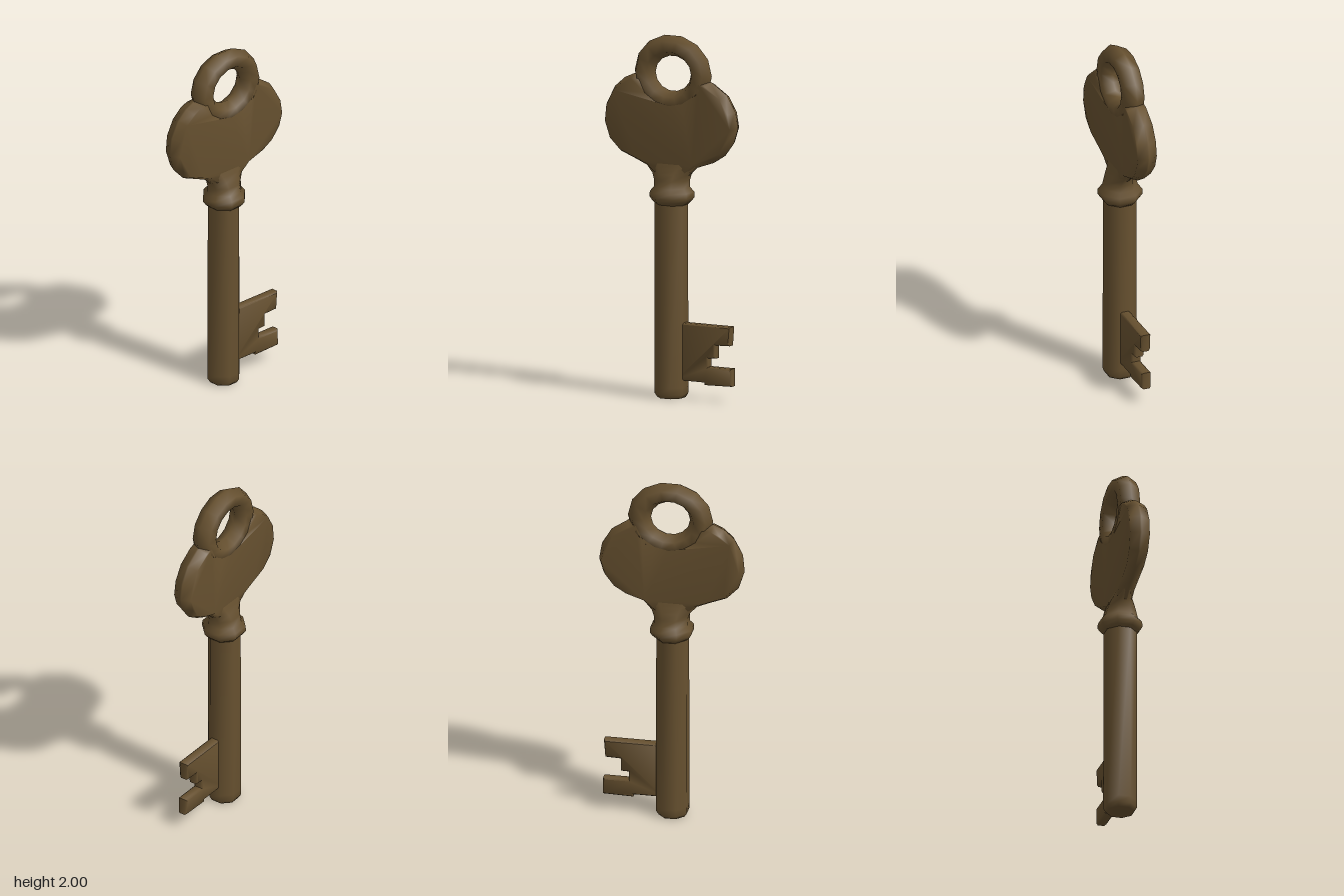
import * as THREE from 'three';
import { mergeVertices, toCreasedNormals } from 'three/addons/utils/BufferGeometryUtils.js';

// Eight-sided loft through sections [y, half width, half depth], closed at both ends
function loft(sections, sides = 8) {
  const pos = [], index = [], k = 1 / Math.cos(Math.PI / sides);
  for (const [y, hx, hz] of sections) {
    for (let i = 0; i < sides; i++) {
      const a = ((i + 0.5) / sides) * Math.PI * 2;
      pos.push(Math.cos(a) * hx * k, y, Math.sin(a) * hz * k);
    }
  }
  const rows = sections.length, bottom = rows * sides, top = bottom + 1;
  pos.push(0, sections[0][0], 0, 0, sections[rows - 1][0], 0);
  for (let i = 0; i < sides; i++) {
    const j = (i + 1) % sides, last = (rows - 1) * sides;
    for (let r = 0; r < rows - 1; r++) {
      const a = r * sides + i, b = r * sides + j;
      index.push(a, a + sides, b, b, a + sides, b + sides);
    }
    index.push(bottom, i, j, top, last + j, last + i);
  }
  const g = new THREE.BufferGeometry();
  g.setAttribute('position', new THREE.Float32BufferAttribute(pos, 3));
  g.setIndex(index);
  g.computeVertexNormals();
  return g;
}

// Bevelled slab centred on z = 0, with the outline as its outermost edge
function slab(points, depth, bevelThickness, bevelSize) {
  const shape = new THREE.Shape(points.map(([x, y]) => new THREE.Vector2(x, y)));
  const g = new THREE.ExtrudeGeometry(shape, {
    depth, bevelThickness, bevelSize, bevelOffset: -bevelSize, bevelSegments: 1,
  });
  return g.translate(0, 0, -depth / 2);
}

function smooth(g) {
  g.deleteAttribute('normal');
  g.deleteAttribute('uv');
  const merged = mergeVertices(g, 1e-4);
  merged.computeVertexNormals();
  return merged;
}

export function createModel() {
  const group = new THREE.Group();
  const bronze = new THREE.MeshStandardMaterial({ color: 0x66502f });
  bronze.name = 'dark bronze';
  const add = (name, geometry) => {
    const mesh = new THREE.Mesh(geometry, bronze);
    mesh.name = name;
    group.add(mesh);
    return mesh;
  };

  // Round shaft with softened tip
  const shaft = add('shaft', loft([
    [0, 0.072, 0.072], [0.022, 0.085, 0.085], [0.06, 0.086, 0.086], [1.1, 0.084, 0.084],
  ]));
  shaft.position.x = -0.004;

  // Collar ring and the neck that flares sideways into the bow
  add('collarAndNeck', loft([
    [1.065, 0.08, 0.08], [1.085, 0.1, 0.1], [1.105, 0.113, 0.113], [1.135, 0.112, 0.112],
    [1.16, 0.092, 0.09], [1.2, 0.093, 0.08], [1.235, 0.106, 0.068],
    [1.265, 0.135, 0.052], [1.3, 0.17, 0.042], [1.34, 0.18, 0.03],
  ]));

  // Wide flat bow, thinner towards the neck
  const bow = slab([
    [-0.06, 1.2], [0.06, 1.2], [0.11, 1.235], [0.155, 1.277], [0.255, 1.312], [0.325, 1.357],
    [0.378, 1.43], [0.402, 1.51], [0.387, 1.6], [0.335, 1.69], [0.24, 1.755],
    [0.178, 1.77], [0.14, 1.69], [0.08, 1.65], [0.008, 1.634], [-0.064, 1.65],
    [-0.124, 1.69], [-0.162, 1.77], [-0.23, 1.768], [-0.285, 1.743], [-0.345, 1.69],
    [-0.392, 1.6], [-0.402, 1.5], [-0.37, 1.4], [-0.305, 1.333], [-0.205, 1.293],
    [-0.14, 1.265], [-0.11, 1.235],
  ], 0.01, 0.051, 0.02);
  const p = bow.attributes.position;
  for (let i = 0; i < p.count; i++) {
    const t = THREE.MathUtils.clamp((p.getY(i) - 1.2) / 0.25, 0, 1);
    p.setZ(i, p.getZ(i) * (0.68 + 0.32 * t));
  }
  add('bow', smooth(bow));

  // Hanging loop with a six-sided section
  const loop = add('loop', new THREE.TorusGeometry(0.172, 0.064, 6, 14));
  loop.position.set(0.008, 1.787, 0);
  loop.scale.y = 0.905;

  // Notched bit
  const bit = slab([
    [0.04, 0.1], [0.21, 0.1], [0.212, 0.086], [0.38, 0.09], [0.378, 0.187], [0.235, 0.187],
    [0.235, 0.235], [0.28, 0.237], [0.28, 0.31], [0.366, 0.313], [0.374, 0.418], [0.04, 0.418],
  ], 0.036, 0.01, 0.008);
  add('bit', toCreasedNormals(bit, 0.9)).position.z = 0.004;

  return group;
}
